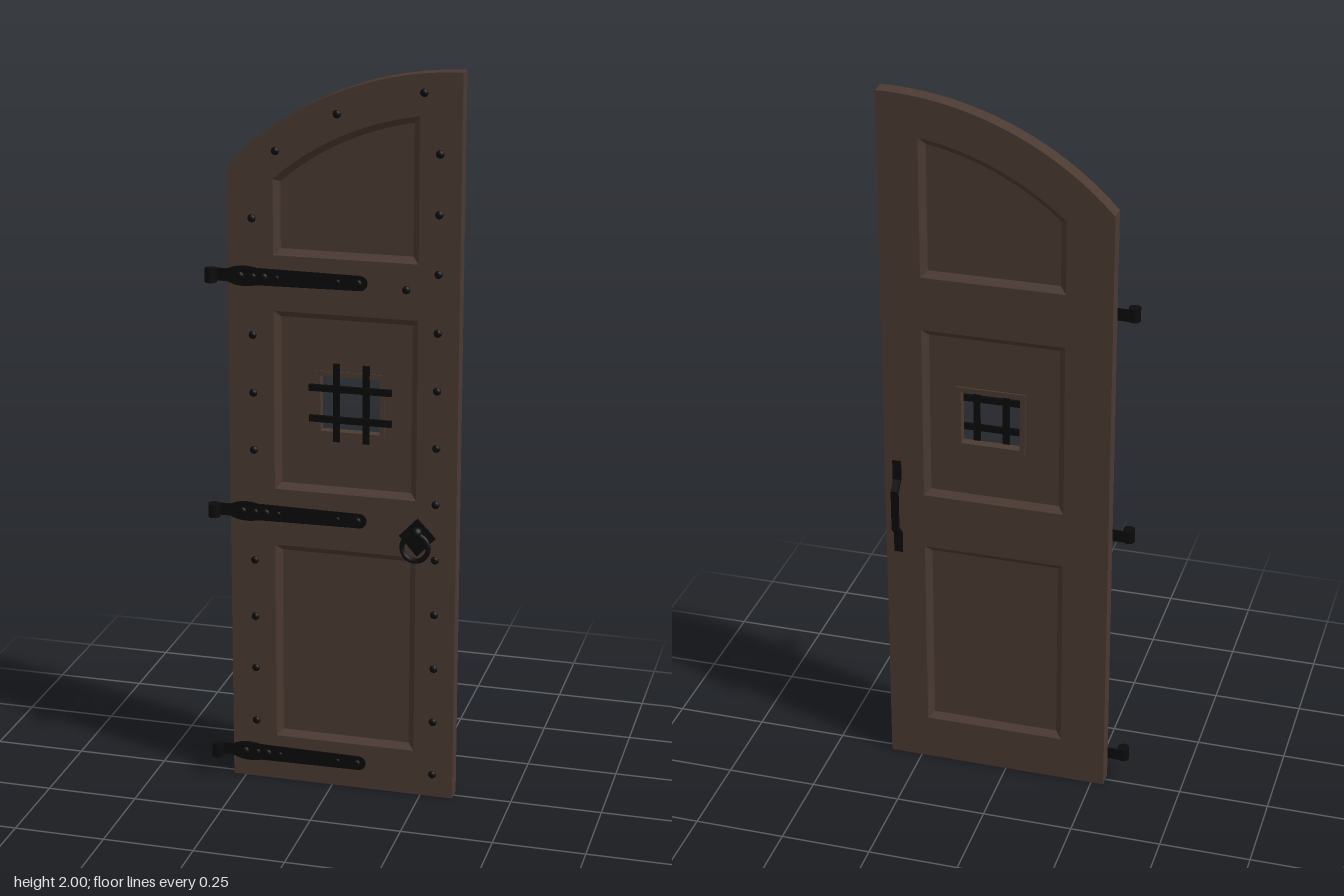
import * as THREE from 'three';

const wood = new THREE.MeshStandardMaterial({ color: 0x4b3a32 });
wood.name = 'dark wood';
const iron = new THREE.MeshStandardMaterial({ color: 0x0b0b0b });
iron.name = 'black iron';

const FRONT = 0.022, BACK = -0.025;
const PANEL_FRONT = 0.008, PANEL_BACK = -0.011;
const ARC_X = 0.34, ARC_Y = 1.142, ARC_R = 0.858;

const toShape = (pts) => new THREE.Shape(pts.map(([x, y]) => new THREE.Vector2(x, y)));
const toPath = (pts) => new THREE.Path(pts.map(([x, y]) => new THREE.Vector2(x, y)));
const rect = (x0, x1, y0, y1) => [[x0, y0], [x1, y0], [x1, y1], [x0, y1]];

// Outline with a flat bottom and a quarter-arch top, counter-clockwise
function arched(x0, x1, y0, r, n = 24) {
  const pts = [[x0, y0], [x1, y0]];
  for (let i = 0; i <= n; i++) {
    const x = x1 + (x0 - x1) * i / n;
    pts.push([x, ARC_Y + Math.sqrt(r * r - (x - ARC_X) ** 2)]);
  }
  return pts;
}

function mesh(parent, name, geometry, material, x = 0, y = 0, z = 0) {
  const m = new THREE.Mesh(geometry, material);
  m.name = name;
  m.position.set(x, y, z);
  parent.add(m);
  return m;
}

// Flat slab between two depths, with optional holes
function slab(outline, holes, z0, z1) {
  const s = toShape(outline);
  s.holes = holes.map(toPath);
  return new THREE.ExtrudeGeometry(s, { depth: z1 - z0, bevelEnabled: false }).translate(0, 0, z0);
}

// Sloped moulding joining two matching loops at different depths
function moulding(outer, inner, zo, zi) {
  const pos = [];
  const n = outer.length;
  for (let i = 0; i < n; i++) {
    const j = (i + 1) % n;
    const a = [...outer[i], zo], b = [...outer[j], zo], c = [...inner[j], zi], d = [...inner[i], zi];
    pos.push(...(zo > zi ? [a, b, c, a, c, d] : [a, c, b, a, d, c]).flat());
  }
  const g = new THREE.BufferGeometry();
  g.setAttribute('position', new THREE.Float32BufferAttribute(pos, 3));
  g.computeVertexNormals();
  return g;
}

// Low dome facing +z
const dome = (r, h) => new THREE.SphereGeometry(r, 12, 5, 0, Math.PI * 2, 0, Math.PI / 2)
  .rotateX(Math.PI / 2).scale(1, 1, h / r);

function hinge(y) {
  const g = new THREE.Group();
  g.name = 'hinge';
  g.position.y = y;
  // Strap: narrow at the knuckle, swelling, then long with a rounded tip
  const s = new THREE.Shape();
  s.moveTo(-0.33, -0.017);
  s.lineTo(-0.285, -0.017);
  s.quadraticCurveTo(-0.25, -0.034, -0.205, -0.023);
  s.lineTo(0.075, -0.02);
  s.absarc(0.075, 0, 0.02, -Math.PI / 2, Math.PI / 2, false);
  s.lineTo(-0.205, 0.023);
  s.quadraticCurveTo(-0.25, 0.034, -0.285, 0.017);
  s.lineTo(-0.33, 0.017);
  mesh(g, 'hingeStrap', new THREE.ExtrudeGeometry(s, { depth: 0.004, bevelEnabled: false }), iron, 0, 0, FRONT);
  mesh(g, 'hingeKnuckle', new THREE.CylinderGeometry(0.016, 0.016, 0.038, 20), iron, -0.327, 0, 0.037);
  [[-0.25, 0.011], [-0.215, 0.009], [-0.185, 0.011], [-0.15, 0.007], [0.015, 0.007], [0.071, 0.01]]
    .forEach(([x, r]) => mesh(g, 'hingeBolt', dome(r, r * 0.65), iron, x, 0, FRONT + 0.004));
  return g;
}

export function createModel() {
  const door = new THREE.Group();
  door.name = 'archedDoor';

  // Panel openings and their inset edges
  const inset = 0.017;
  const openings = [[0.13, 0.695], [0.855, 1.35]].map(([a, b]) => ({
    outer: rect(-0.16, 0.23, a, b),
    inner: rect(-0.16 + inset, 0.23 - inset, a + inset, b - inset),
    holes: [],
  }));
  openings[1].holes.push(rect(-0.038, 0.128, 1.024, 1.18));
  openings.push({
    outer: arched(-0.16, 0.23, 1.5, 0.751),
    inner: arched(-0.16 + inset, 0.23 - inset, 1.5 + inset, 0.751 - inset),
    holes: [],
  });

  // Frame, recessed panels and mouldings on both faces
  mesh(door, 'doorFrame', slab(arched(-0.285, 0.34, 0, ARC_R, 36), openings.map((o) => o.outer), BACK, FRONT), wood);
  for (const o of openings) {
    mesh(door, 'panel', slab(o.inner, o.holes, PANEL_BACK, PANEL_FRONT), wood);
    mesh(door, 'frontMoulding', moulding(o.outer, o.inner, FRONT, PANEL_FRONT), wood);
    mesh(door, 'backMoulding', moulding(o.outer, o.inner, BACK, PANEL_BACK), wood);
  }

  // Peephole trim and iron grille
  mesh(door, 'windowTrim', slab(rect(-0.05, 0.14, 1.012, 1.192), [rect(-0.036, 0.126, 1.026, 1.178)], -0.016, 0.011), wood);
  for (const x of [0.009, 0.09]) {
    mesh(door, 'verticalBar', new THREE.BoxGeometry(0.018, 0.215, 0.008), iron, x, 1.107, 0.013);
  }
  for (const y of [1.062, 1.147]) {
    mesh(door, 'horizontalBar', new THREE.BoxGeometry(0.225, 0.018, 0.008), iron, 0.048, y, 0.018);
  }

  for (const y of [1.44, 0.785, 0.075]) door.add(hinge(y));

  // Studs along both stiles and the arch
  const studs = [[0.24, 1.945], [0.012, 1.88], [-0.153, 1.776], [0.198, 1.43]];
  for (const y of [1.595, 1.28, 1.12, 0.96, 0.645, 0.48, 0.328, 0.17]) studs.push([-0.218, y]);
  for (let i = 0; i < 12; i++) studs.push([0.283, 1.79 - i * 0.1568]);
  for (const [x, y] of studs) mesh(door, 'stud', dome(0.011, 0.008), iron, x, y, FRONT);

  // Ring pull on a diamond plate
  mesh(door, 'ringPlate', slab([[0.235, 0.7], [0.285, 0.755], [0.235, 0.807], [0.185, 0.755]], [], FRONT, 0.027), iron);
  mesh(door, 'ringBoss', new THREE.SphereGeometry(0.016, 16, 10), iron, 0.235, 0.77, 0.033);
  const ring = mesh(door, 'pullRing', new THREE.TorusGeometry(0.036, 0.007, 10, 32), iron, 0.233, 0.73, 0.041);
  ring.rotation.x = -0.12;

  // Back handle: foot plates and a bowed grip
  for (const y of [0.7, 0.92]) {
    mesh(door, 'handleFoot', new THREE.BoxGeometry(0.024, 0.062, 0.005), iron, 0.305, y, BACK - 0.002);
  }
  const grip = slab([
    [0.024, 0.725], [0.03, 0.725], [0.055, 0.75], [0.055, 0.87], [0.03, 0.895], [0.024, 0.895],
    [0.024, 0.887], [0.046, 0.865], [0.046, 0.755], [0.024, 0.733],
  ], [], -0.01, 0.01).rotateY(Math.PI / 2);
  mesh(door, 'handleGrip', grip, iron, 0.305, 0, 0);

  return door;
}
